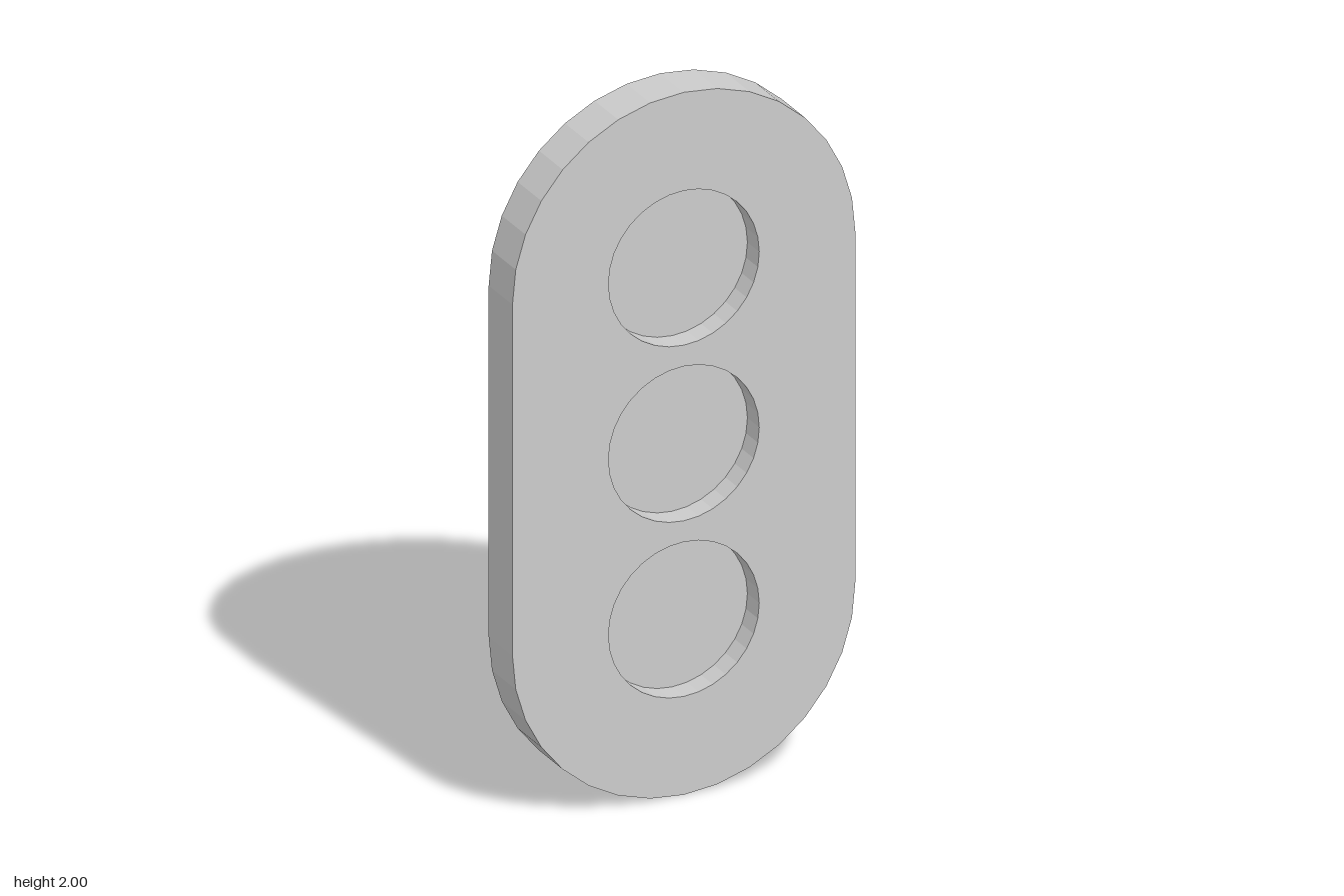
import * as THREE from 'three';

const HALF = 0.067;        // half of the plate thickness
const END_RADIUS = 0.5;    // rounded ends of the plate
const RECESS_RADIUS = 0.22;
const RECESS_FLOOR = 0;    // recesses reach half way through

const material = new THREE.MeshStandardMaterial({ color: 0xcccccc, flatShading: true });

// Counter-clockwise points on an arc
function arc(cy, radius, start, sweep, segments, closed) {
  const points = [];
  const count = closed ? segments : segments + 1;
  for (let i = 0; i < count; i++) {
    const a = start + (sweep * i) / segments;
    points.push(new THREE.Vector2(radius * Math.cos(a), cy + radius * Math.sin(a)));
  }
  return points;
}

// Flat-shaded wall along a closed loop, facing outward for a counter-clockwise loop
function wall(points, z0, z1) {
  const positions = [];
  points.forEach((a, i) => {
    const b = points[(i + 1) % points.length];
    positions.push(a.x, a.y, z0, b.x, b.y, z0, b.x, b.y, z1);
    positions.push(a.x, a.y, z0, b.x, b.y, z1, a.x, a.y, z1);
  });
  const geometry = new THREE.BufferGeometry();
  geometry.setAttribute('position', new THREE.Float32BufferAttribute(positions, 3));
  geometry.computeVertexNormals();
  return geometry;
}

export function createModel() {
  const group = new THREE.Group();
  group.name = 'recessedPlate';
  const add = (name, geometry) => {
    const mesh = new THREE.Mesh(geometry, material);
    mesh.name = name;
    group.add(mesh);
    return mesh;
  };

  // Stadium outline: two half circles joined by straight sides
  const outline = [
    ...arc(1.5, END_RADIUS, 0, Math.PI, 16, false),
    ...arc(0.5, END_RADIUS, Math.PI, Math.PI, 16, false),
  ];
  const frontShape = new THREE.Shape(outline);

  // Three round recesses, each with a wall and a floor
  [0.5, 1, 1.5].forEach((y, i) => {
    const circle = arc(y, RECESS_RADIUS, 0, Math.PI * 2, 32, true);
    frontShape.holes.push(new THREE.Path(circle));
    add(`recessWall${i + 1}`, wall([...circle].reverse(), RECESS_FLOOR, HALF));
    add(`recessFloor${i + 1}`, new THREE.ShapeGeometry(new THREE.Shape(circle)))
      .position.z = RECESS_FLOOR;
  });

  // Plate faces and rim
  add('frontFace', new THREE.ShapeGeometry(frontShape)).position.z = HALF;
  const back = new THREE.ShapeGeometry(new THREE.Shape(outline));
  back.rotateY(Math.PI);
  add('backFace', back).position.z = -HALF;
  add('rim', wall(outline, -HALF, HALF));

  return group;
}
